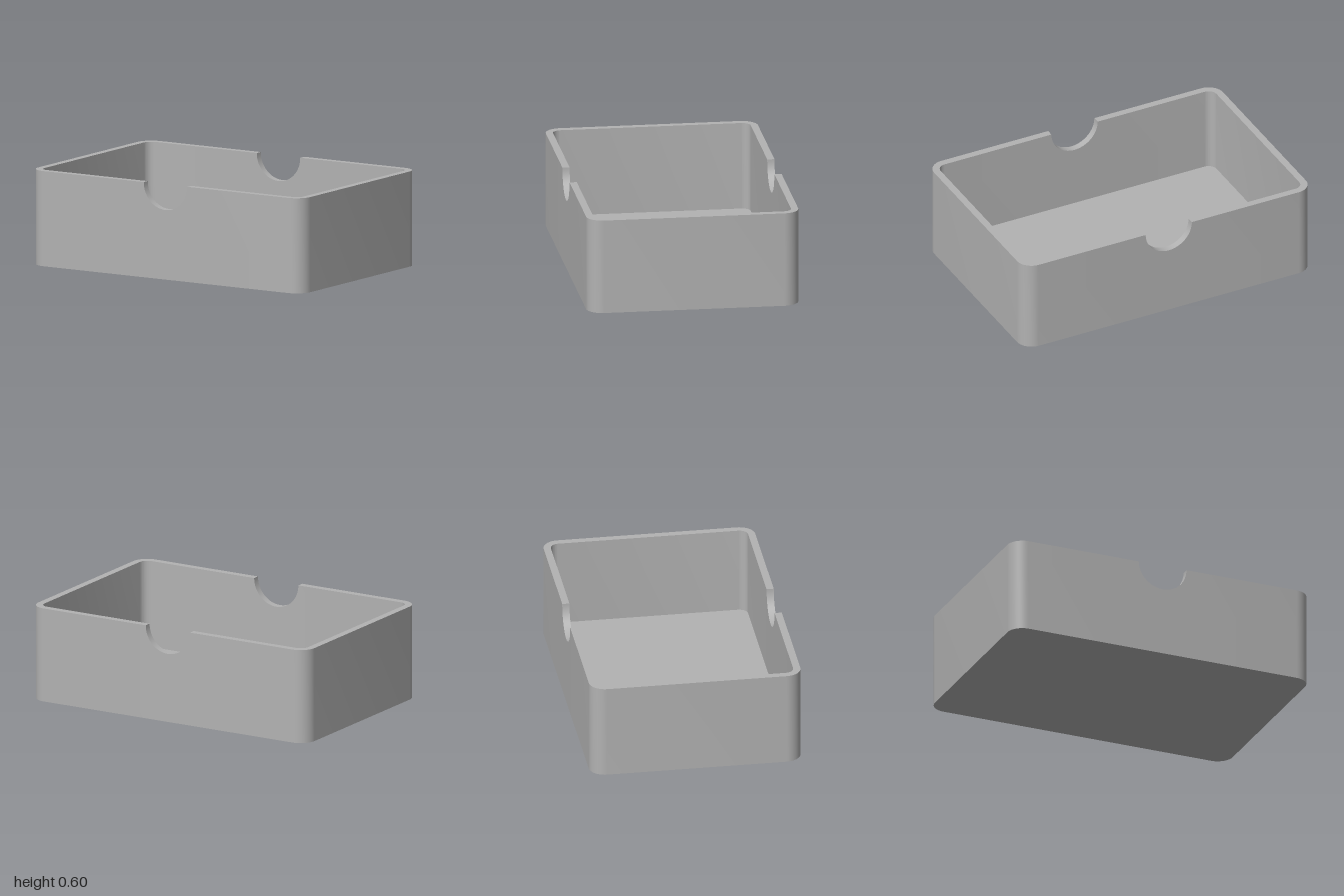
import * as THREE from 'three';
import { toCreasedNormals } from 'three/addons/utils/BufferGeometryUtils.js';

const HALF_X = 1, HALF_Z = 0.66, HEIGHT = 0.595;
const WALL = 0.045, FLOOR = 0.045, CORNER = 0.1, NOTCH = 0.16;

// Outline of the tray: matching outer and inner points plus the rim height
function outline() {
  const points = [];
  const corner = (quarter, sx, sz) => {
    const steps = 14;
    for (let i = 0; i <= steps; i++) {
      const a = (quarter + i / steps) * Math.PI / 2;
      const at = (r) => [
        sx * (HALF_X - CORNER) + r * Math.cos(a),
        sz * (HALF_Z - CORNER) + r * Math.sin(a),
      ];
      points.push({ outer: at(CORNER), inner: at(CORNER - WALL), rim: HEIGHT });
    }
  };
  // Half-round thumb notch in a long wall
  const notch = (side) => {
    const steps = 32;
    for (let i = 0; i <= steps; i++) {
      const a = (i / steps) * Math.PI;
      const x = side * NOTCH * Math.cos(a);
      points.push({
        outer: [x, side * HALF_Z],
        inner: [x, side * (HALF_Z - WALL)],
        rim: HEIGHT - NOTCH * Math.sin(a),
      });
    }
  };
  corner(0, 1, 1);
  notch(1);
  corner(1, -1, 1);
  corner(2, -1, -1);
  notch(-1);
  corner(3, 1, -1);
  return points;
}

// Sweep the wall section around the outline, closing underside and floor at the centre
function trayGeometry() {
  const sections = outline().map(({ outer, inner, rim }) => [
    [0, 0, 0],
    [outer[0], 0, outer[1]],
    [outer[0], rim, outer[1]],
    [inner[0], rim, inner[1]],
    [inner[0], FLOOR, inner[1]],
    [0, FLOOR, 0],
  ]);
  const positions = [];
  sections.forEach((a, i) => {
    const b = sections[(i + 1) % sections.length];
    for (let k = 0; k < 5; k++) {
      if (k < 4) positions.push(...a[k], ...a[k + 1], ...b[k + 1]);
      if (k > 0) positions.push(...a[k], ...b[k + 1], ...b[k]);
    }
  });
  const geometry = new THREE.BufferGeometry();
  geometry.setAttribute('position', new THREE.Float32BufferAttribute(positions, 3));
  return toCreasedNormals(geometry, Math.PI / 6);
}

export function createModel() {
  const group = new THREE.Group();
  group.name = 'openTray';
  const grey = new THREE.MeshStandardMaterial({ color: 0xb2b2b2 });
  grey.name = 'grey';
  const tray = new THREE.Mesh(trayGeometry(), grey);
  tray.name = 'notchedTray';
  group.add(tray);
  return group;
}
